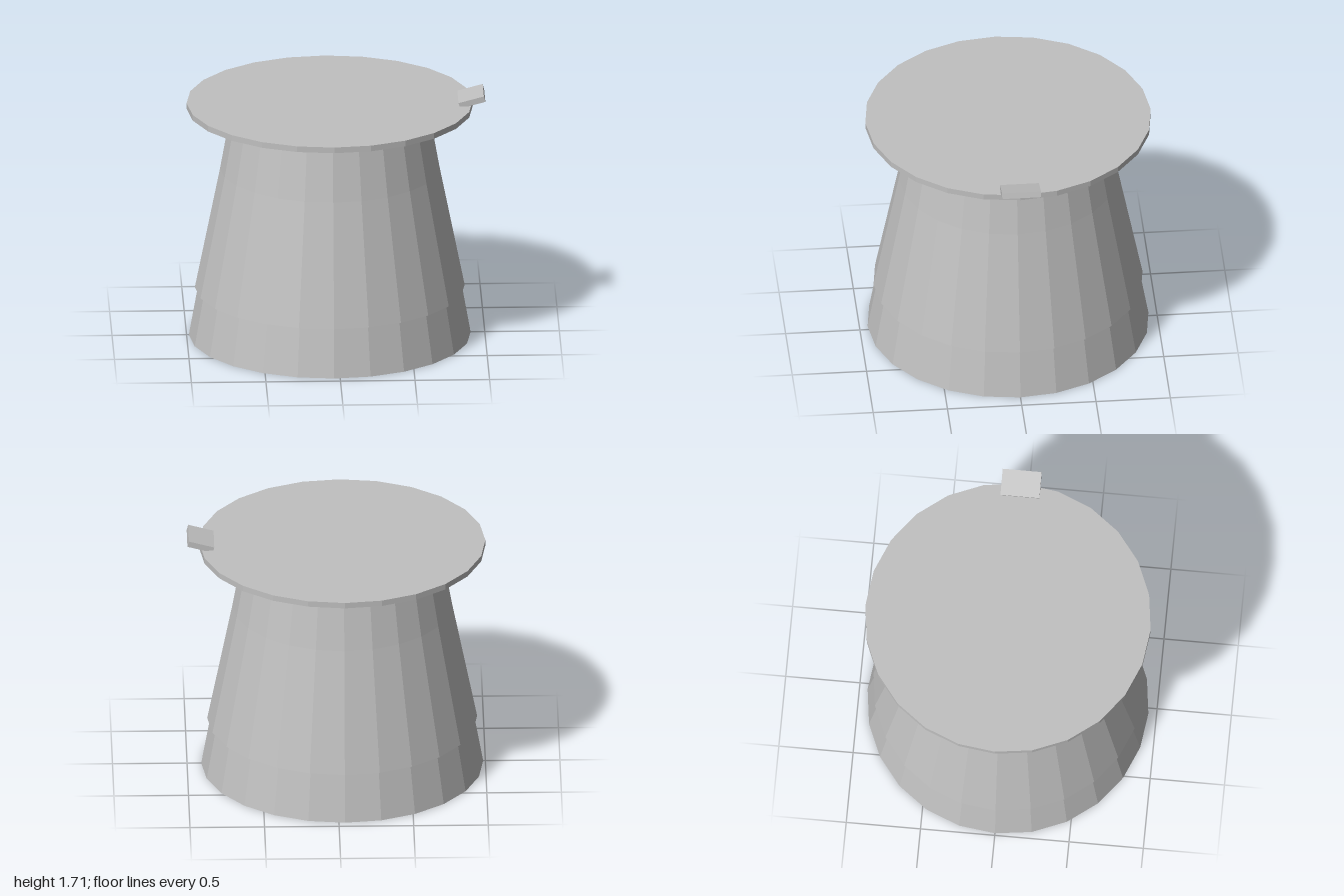
import * as THREE from 'three';

const SIDES = 24;
const AXIS_X = -0.04; // the round parts sit slightly off centre to make room for the tab

export function createModel() {
  const model = new THREE.Group();
  model.name = 'lidded container';
  const grey = new THREE.MeshStandardMaterial({ color: 0xc0c0c0 });
  grey.name = 'light grey';
  grey.flatShading = true;

  // Tapered round part between two heights
  function addRound(name, rBottom, rTop, y0, y1) {
    const geometry = new THREE.CylinderGeometry(rTop, rBottom, y1 - y0, SIDES);
    const mesh = new THREE.Mesh(geometry, grey);
    mesh.name = name;
    mesh.position.set(AXIS_X, (y0 + y1) / 2, 0);
    model.add(mesh);
  }

  addRound('body', 0.945, 0.66, 0, 1.6);
  // Steeper sleeve that sinks into the body near the top
  addRound('sleeve', 0.905, 0.65, 0.335, 1.6);
  addRound('lid', 0.96, 0.96, 1.6, 1.64);

  // Tilted thumb tab on the lid rim
  const tab = new THREE.Mesh(new THREE.BoxGeometry(0.176, 0.04, 0.262), grey);
  tab.name = 'thumbTab';
  tab.position.set(0.91, 1.667, 0);
  tab.rotation.z = THREE.MathUtils.degToRad(15);
  model.add(tab);

  return model;
}
